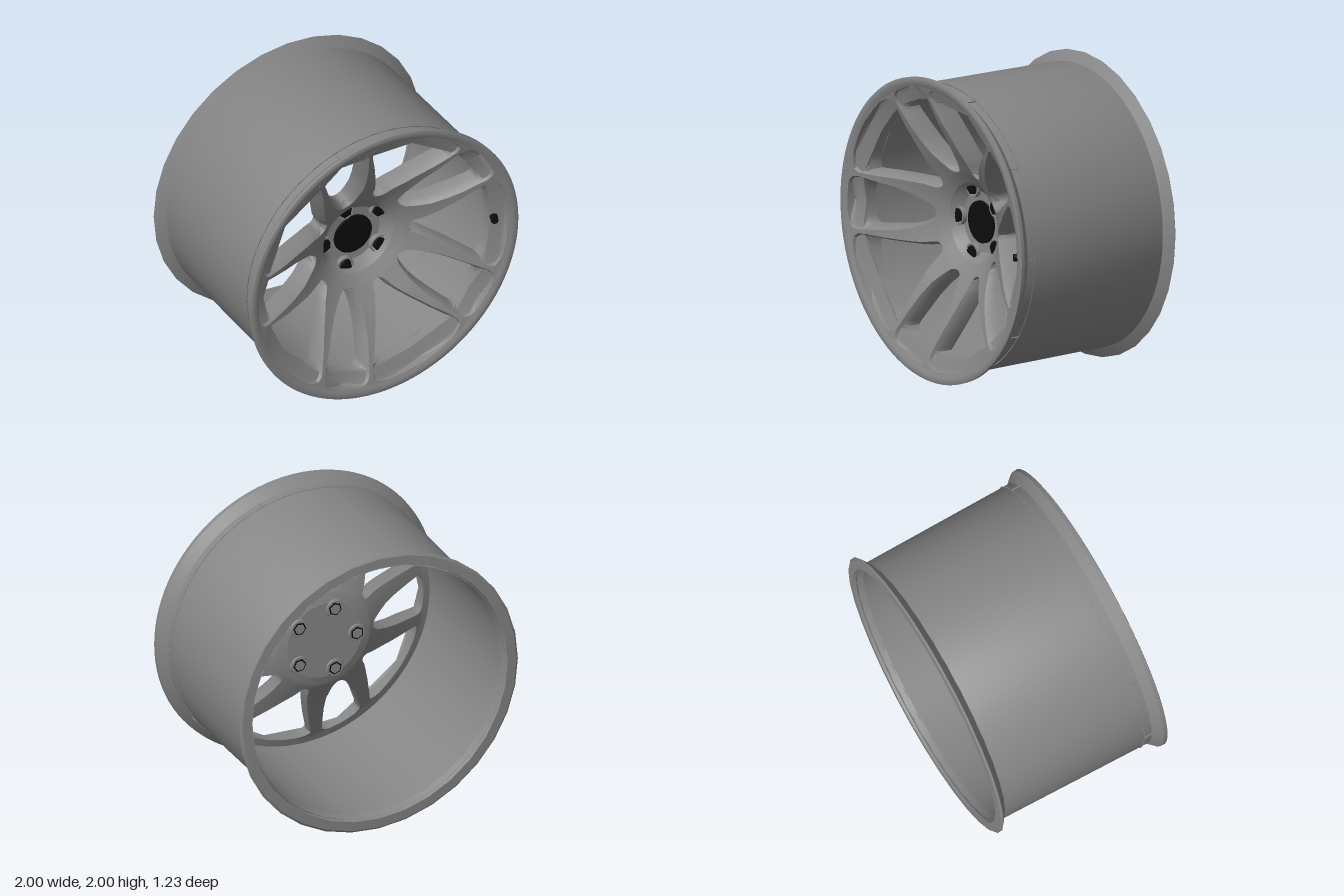
import * as THREE from 'three';
import { toCreasedNormals } from 'three/addons/utils/BufferGeometryUtils.js';

const RAD = Math.PI / 180;

// Linear lookup of column c in a table whose first column is the radius
function lookup(table, r, c = 1) {
  if (r <= table[0][0]) return table[0][c];
  for (let i = 1; i < table.length; i++) {
    const a = table[i - 1], b = table[i];
    if (r <= b[0]) return a[c] + (b[c] - a[c]) * (r - a[0]) / (b[0] - a[0]);
  }
  return table[table.length - 1][c];
}

// Window outline: radius, half width of the wide windows, half width of the narrow ones
const WINDOW = [
  [0.34, 0, 0], [0.345, 0.014, 0.016], [0.36, 0.03, 0.035], [0.39, 0.045, 0.055],
  [0.44, 0.066, 0.08], [0.5, 0.1, 0.105], [0.6, 0.16, 0.13], [0.7, 0.222, 0.145],
  [0.8, 0.285, 0.158], [0.87, 0.325, 0.167], [0.905, 0.325, 0.16], [0.925, 0.285, 0.14],
  [0.934, 0.23, 0.11], [0.937, 0.11, 0.05], [0.938, 0, 0],
];
// Concave dish: front and back height along the radius
const FRONT = [[0.265, 0.275], [0.34, 0.325], [0.5, 0.42], [0.7, 0.515], [0.9, 0.59], [0.938, 0.6], [0.95, 0.58]];
const BACK = [[0.265, 0.165], [0.34, 0.185], [0.5, 0.275], [0.7, 0.37], [0.85, 0.44], [0.95, 0.47]];

// The through hole is a smaller copy of the front outline
const HOLE_IN = 0.365, HOLE_OUT = 0.848;
const STRETCH = (0.938 - 0.34) / (HOLE_OUT - HOLE_IN);
const toOutline = (r) => 0.34 + (r - HOLE_IN) * STRETCH;
const fromOutline = (p) => HOLE_IN + (p - 0.34) / STRETCH;

// Cross-section of one spoke at radius r, as [angle, z] running from wide to narrow window
function section(r) {
  const zf = lookup(FRONT, r), zb = lookup(BACK, r);
  const edge = (c) => {
    const hf = lookup(WINDOW, r, c);
    const hb = Math.max(0, Math.min(0.88 * lookup(WINDOW, toOutline(r), c), hf - 0.015));
    const open = Math.min(1, hf / 0.03);
    const ang = (h) => Math.asin(h / r);
    return [
      [ang(hb), zb],
      [ang(hb), zf + (zb + 0.55 * (zf - zb) - zf) * open],
      [ang(hf), zf - 0.02 * open],
      [ang(hf + 0.01 * open), zf],
    ];
  };
  const a = edge(1);
  const b = edge(2).map(([t, z]) => [36 * RAD - t, z]).reverse();
  const between = (p, q) => [1, 2, 3].map((k) => [p[0] + (q[0] - p[0]) * k / 4, p[1]]);
  return [...a, ...between(a[3], b[0]), ...b, ...between(b[3], a[0])];
}

// Ten lofted spokes that merge into the hub and the rim
function spokeGeometry() {
  const radii = [0.265, 0.28, 0.3, 0.32, 0.65, 0.75, 0.95];
  WINDOW.forEach(([r]) => radii.push(r, fromOutline(r)));
  radii.sort((p, q) => p - q);
  const pos = [];
  for (let k = 0; k < 5; k++) {
    for (const side of [1, -1]) {
      const rows = radii.map((r) => {
        const pts = section(r).map(([t, z]) => {
          const ang = 72 * RAD * k + side * t;
          return [r * Math.cos(ang), r * Math.sin(ang), z];
        });
        return side > 0 ? pts : pts.reverse();
      });
      for (let i = 0; i + 1 < rows.length; i++) {
        const p = rows[i], q = rows[i + 1], n = p.length;
        for (let j = 0; j < n; j++) {
          const m = (j + 1) % n;
          pos.push(...p[j], ...q[j], ...q[m], ...p[j], ...q[m], ...p[m]);
        }
      }
    }
  }
  const g = new THREE.BufferGeometry();
  g.setAttribute('position', new THREE.Float32BufferAttribute(pos, 3));
  return toCreasedNormals(g, 35 * RAD);
}

// Turned part around z; points are [radius, z]
function turned(points, segments) {
  const g = new THREE.LatheGeometry(points.map(([r, z]) => new THREE.Vector2(r, z)), segments);
  g.rotateX(Math.PI / 2);
  return toCreasedNormals(g, 30 * RAD);
}

// Straight prism along z between two heights
function prism(r0, r1, z0, z1, sides) {
  const g = new THREE.CylinderGeometry(r1, r0, z1 - z0, sides);
  g.rotateX(Math.PI / 2);
  g.translate(0, 0, (z0 + z1) / 2);
  return toCreasedNormals(g, 35 * RAD);
}

export function createModel() {
  const grey = new THREE.MeshStandardMaterial({ color: 0x868686, side: THREE.DoubleSide });
  grey.name = 'wheelGrey';
  const black = new THREE.MeshStandardMaterial({ color: 0x0c0c0c });
  black.name = 'black';

  const wheel = new THREE.Group();
  wheel.name = 'wheel';
  wheel.position.y = 1;
  const add = (name, geometry, material, parent = wheel) => {
    const mesh = new THREE.Mesh(geometry, material);
    mesh.name = name;
    parent.add(mesh);
    return mesh;
  };

  // Barrel with the front flange, and the coarser rear flange
  add('barrel', turned([
    [0.905, -0.6], [0.93, -0.55], [0.943, 0.525], [0.998, 0.585], [1, 0.61],
    [0.985, 0.615], [0.96, 0.612], [0.936, 0.6],
  ], 96), grey);
  add('barrelInside', turned([[0.9, 0.5], [0.9, -0.56]], 96), grey);
  add('rearFlange', turned([[0.9, -0.55], [0.92, -0.615], [0.985, -0.612], [1, -0.6], [0.93, -0.55]], 32), grey);

  add('spokes', spokeGeometry(), grey);

  // Hub bowl and centre cap
  add('hub', turned([
    [0, 0.165], [0.268, 0.165], [0.268, 0.276], [0.258, 0.262], [0.2, 0.212], [0.145, 0.207], [0, 0.207],
  ], 60), grey);
  add('centreCap', prism(0.14, 0.138, 0.2, 0.222, 40), black);

  // Five lug nuts in collars, showing on both faces of the hub
  for (let k = 0; k < 5; k++) {
    const lug = new THREE.Group();
    lug.name = 'lug';
    const ang = (36 + 72 * k) * RAD;
    lug.position.set(0.228 * Math.cos(ang), 0.228 * Math.sin(ang), 0);
    lug.rotation.z = ang;
    wheel.add(lug);
    add('lugCollar', turned([[0.066, 0.19], [0.064, 0.24], [0.053, 0.24], [0.053, 0.2]], 28), grey, lug);
    add('lugNut', prism(0.053, 0.046, 0.19, 0.248, 6), black, lug);
    add('rearBoss', prism(0.058, 0.066, 0.156, 0.175, 28), grey, lug);
    add('rearNut', prism(0.046, 0.046, 0.152, 0.175, 6), black, lug);
    add('studEnd', prism(0.036, 0.036, 0.148, 0.175, 6), grey, lug);
  }

  // Tyre valve beside the rim
  const valve = new THREE.Group();
  valve.name = 'valve';
  valve.position.set(0.865, 0, 0.53);
  valve.rotation.y = -0.4;
  add('valveStem', prism(0.02, 0.02, -0.06, 0, 12), black, valve);
  add('valveCap', prism(0.027, 0.024, -0.012, 0.04, 12), black, valve);
  wheel.add(valve);

  const model = new THREE.Group();
  model.name = 'model';
  model.add(wheel);
  return model;
}
